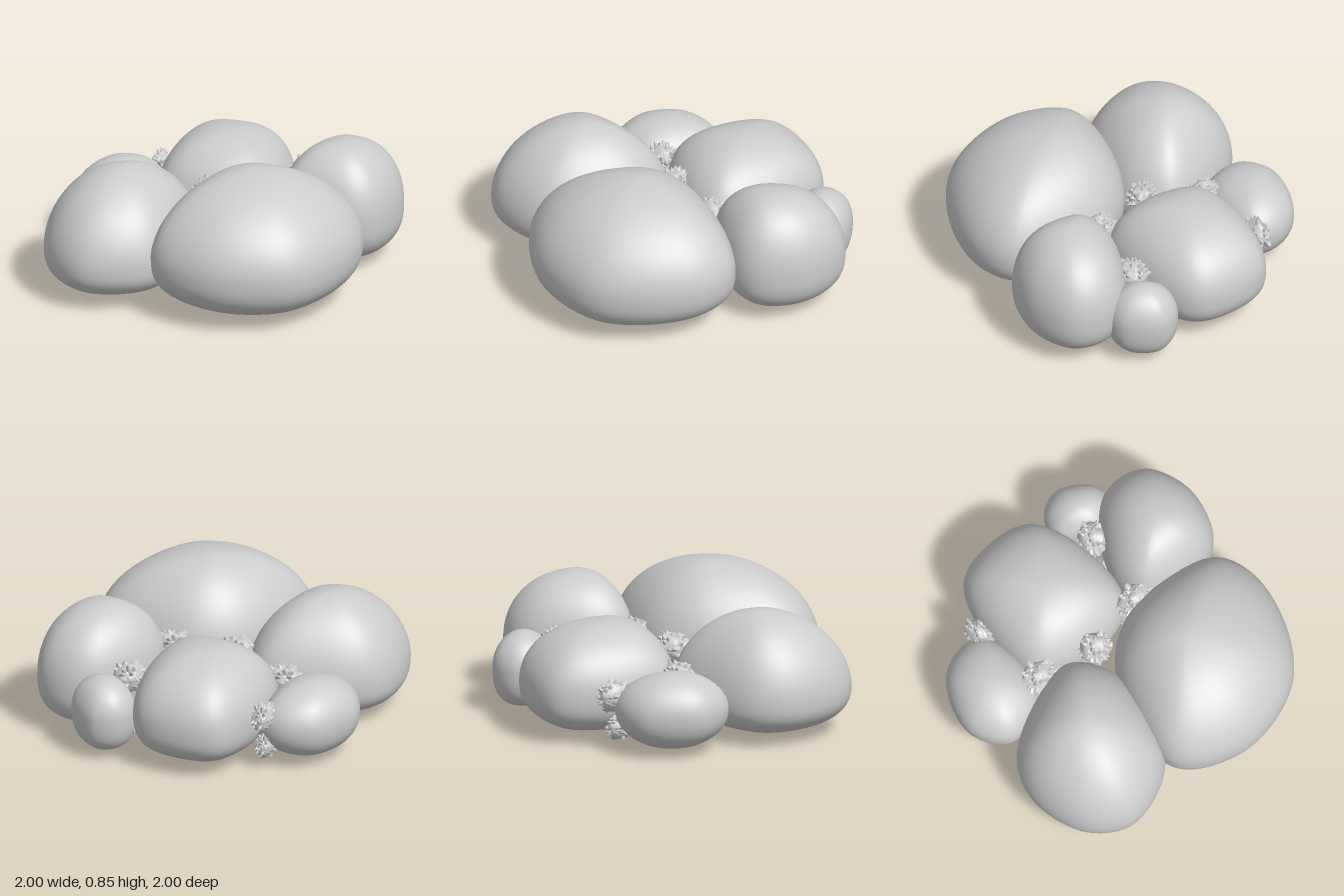
import * as THREE from 'three';
import { mergeVertices } from 'three/addons/utils/BufferGeometryUtils.js';

const stone = new THREE.MeshStandardMaterial({ color: 0xcccccc });
const tuft = new THREE.MeshStandardMaterial({ color: 0xcccccc, flatShading: true });
const BASE = 0.04;

// Boulder: a closed plan outline of [x, z] points swept over a rounded profile.
// apex = [x, z] of the summit, mid = height of the widest level, top = summit height,
// nTop / nBottom = squareness of the profile above and below the widest level.
function boulder({ name, outline, apex, mid, top, nTop = 2, nBottom = 2.6 }) {
  const points = outline.map(([x, z]) => new THREE.Vector3(x, 0, z));
  const curve = new THREE.CatmullRomCurve3(points, true, 'centripetal');
  const summit = new THREE.Vector3(apex[0], 0, apex[1]);
  const foot = new THREE.Box3().setFromPoints(points).getCenter(new THREE.Vector3());
  const sphere = new THREE.SphereGeometry(1, 72, 48);
  const pos = sphere.attributes.position, uv = sphere.attributes.uv;
  for (let i = 0; i < pos.count; i++) {
    const s = pos.getY(i), upper = s >= 0;
    const n = upper ? nTop : nBottom;
    const r = Math.pow(Math.max(0, 1 - s * s), 1 / n);
    const h = Math.pow(Math.abs(s), 2 / n);
    const rim = curve.getPoint(THREE.MathUtils.euclideanModulo(uv.getX(i), 1));
    const p = (upper ? summit : foot).clone().lerp(rim, r);
    p.y = upper ? mid + (top - mid) * h : mid - (mid - BASE) * h;
    pos.setXYZ(i, p.x, p.y, p.z);
  }
  // weld the seam for smooth shading
  sphere.deleteAttribute('uv');
  sphere.deleteAttribute('normal');
  const geo = mergeVertices(sphere, 1e-4);
  geo.computeVertexNormals();
  const mesh = new THREE.Mesh(geo, stone);
  mesh.name = name;
  return mesh;
}

// Repeatable value in 0..1 for a direction
function hash(x, y, z) {
  const v = Math.sin(Math.round(x * 500) * 12.9898 + Math.round(y * 500) * 78.233 +
    Math.round(z * 500) * 37.719) * 43758.5453;
  return v - Math.floor(v);
}

// Prickly tuft wedged between boulders: centre, radii and turn about the vertical
function prickly(name, [x, y, z], [rx, ry, rz], turn = 0) {
  const geo = new THREE.IcosahedronGeometry(1, 6);
  const pos = geo.attributes.position;
  for (let i = 0; i < pos.count; i++) {
    const a = pos.getX(i), b = pos.getY(i), c = pos.getZ(i);
    const k = hash(a, b, c);
    const lump = 0.06 * Math.sin(4 * a + x * 9) * Math.cos(4 * c + z * 9);
    const s = 0.88 + lump + 0.06 * k + (k > 0.86 ? 0.2 : 0);
    pos.setXYZ(i, a * s * rx, Math.max(-y, b * s * ry), c * s * rz);
  }
  geo.computeVertexNormals();
  const mesh = new THREE.Mesh(geo, tuft);
  mesh.name = name;
  mesh.position.set(x, y, z);
  mesh.rotation.y = turn;
  return mesh;
}

// Outlines run left, front, right, back as seen from above
const boulders = [
  { name: 'frontLeftBoulder', apex: [0.26, 0.36], mid: 0.36, top: 0.85, nTop: 1.87,
    outline: [[-0.25, 0.78], [0.15, 1], [0.62, 0.89], [0.84, 0.6], [0.915, 0.22], [0.8, -0.02],
      [0.18, -0.09], [-0.13, 0.15]] },
  { name: 'frontRightBoulder', apex: [-0.55, 0.33], mid: 0.28, top: 0.765, nTop: 1.85,
    outline: [[-1, 0.38], [-0.9, 0.72], [-0.65, 0.88], [-0.25, 0.72], [-0.11, 0.15], [-0.28, -0.12],
      [-0.65, -0.05], [-0.92, 0.13]] },
  { name: 'backCentreBoulder', apex: [-0.12, -0.5], mid: 0.3, top: 0.68, nTop: 2.1,
    outline: [[-0.12, -1], [-0.39, -0.93], [-0.51, -0.6], [-0.45, -0.2], [-0.05, -0.08], [0.24, -0.18],
      [0.28, -0.6], [0.14, -0.93]] },
  { name: 'backLeftBoulder', apex: [0.63, -0.34], mid: 0.33, top: 0.76, nTop: 2.1,
    outline: [[0.5, -0.71], [0.29, -0.35], [0.33, -0.11], [0.74, -0.035], [0.91, -0.13], [0.995, -0.42],
      [0.89, -0.7], [0.7, -0.775]] },
  { name: 'smallBackLeftBoulder', apex: [0.42, -0.79], mid: 0.28, top: 0.495,
    outline: [[0.26, -0.93], [0.22, -0.77], [0.43, -0.6], [0.61, -0.68], [0.61, -0.85], [0.41, -0.99]] },
  { name: 'smallBackRightBoulder', apex: [-0.74, -0.31], mid: 0.27, top: 0.5, nBottom: 2.2,
    outline: [[-0.88, -0.55], [-0.995, -0.22], [-0.85, 0], [-0.58, -0.05], [-0.48, -0.25], [-0.53, -0.59],
      [-0.68, -0.64]] },
];

// Upper tufts sit in the gaps, lower ones show at the ground
const tufts = [
  ['backRightTuft', [-0.555, 0.34, -0.62], [0.07, 0.1, 0.11]],
  ['rightGapTuft', [-0.48, 0.38, -0.17], [0.13, 0.1, 0.09]],
  ['centreTuft', [-0.12, 0.45, -0.06], [0.1, 0.1, 0.1]],
  ['leftGapTuft', [0.27, 0.44, -0.13], [0.13, 0.1, 0.09]],
  ['backLeftTuft', [0.35, 0.42, -0.59], [0.1, 0.1, 0.11]],
  ['frontFootTuft', [-0.14, 0.1, 0.35], [0.09, 0.1, 0.1]],
  ['rightFootTuft', [-0.44, 0.11, -0.19], [0.2, 0.11, 0.1], -0.5],
  ['backRightFootTuft', [-0.55, 0.14, -0.58], [0.06, 0.08, 0.09]],
  ['leftFootTuft', [0.28, 0.1, -0.15], [0.11, 0.1, 0.09]],
  ['backLeftFootTuft', [0.33, 0.1, -0.48], [0.1, 0.1, 0.11]],
];

export function createModel() {
  const group = new THREE.Group();
  group.name = 'boulderCluster';
  boulders.forEach(b => group.add(boulder(b)));
  tufts.forEach(t => group.add(prickly(...t)));
  return group;
}
